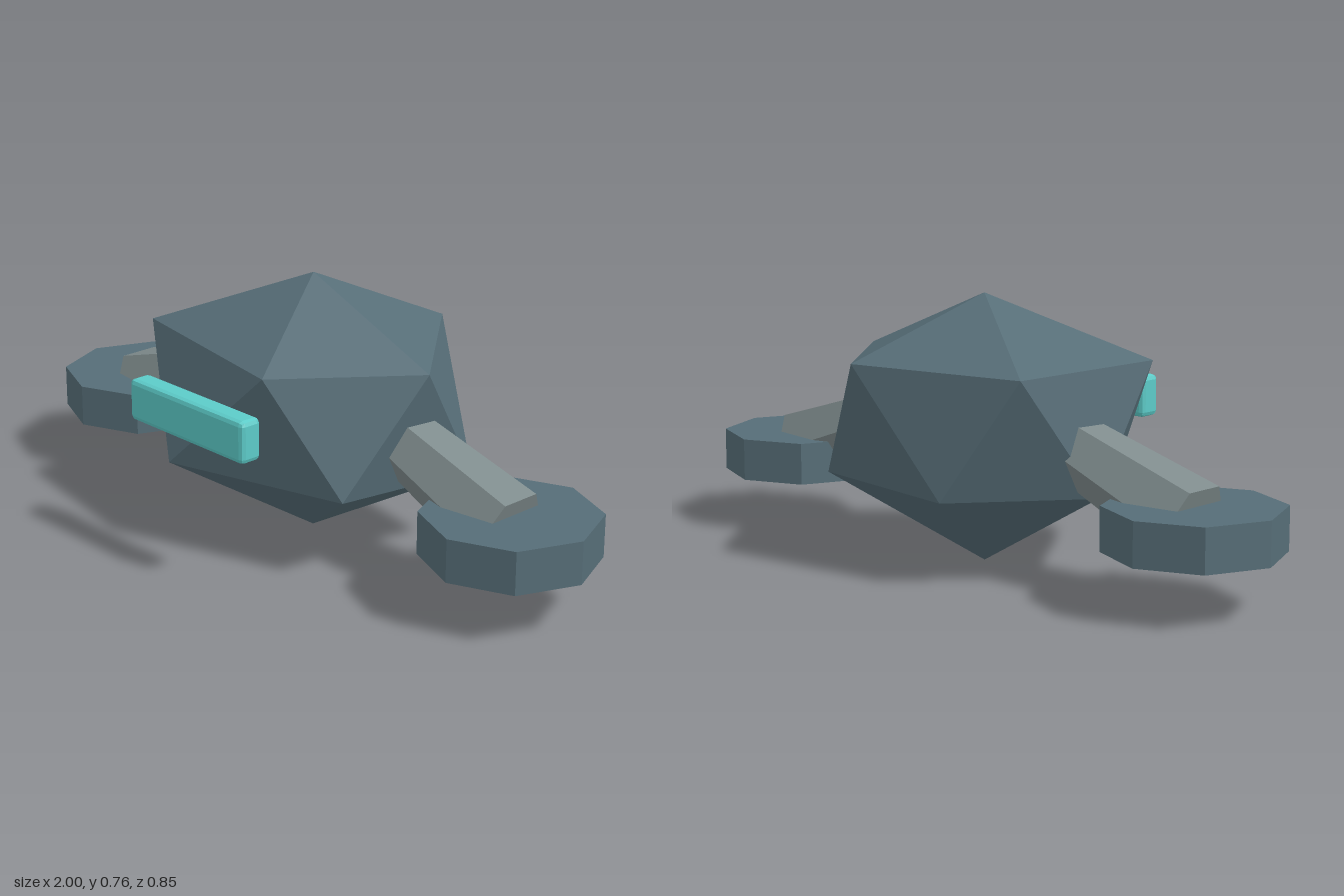
import * as THREE from 'three';
import { RoundedBoxGeometry } from 'three/addons/geometries/RoundedBoxGeometry.js';

const material = (name, color) => {
  const m = new THREE.MeshStandardMaterial({ color, flatShading: true });
  m.name = name;
  return m;
};

// Uneven twenty-sided hull: two poles joined to two staggered rings of five
function hullGeometry() {
  const top = [0, 0.763, -0.05], bottom = [0, 0.003, -0.05];
  const upper = [[0.16, 0.573, 0.287], [0.45, 0.58, -0.05], [0.14, 0.59, -0.423], [-0.36, 0.585, -0.285], [-0.395, 0.588, 0.205]];
  const lower = [[0.365, 0.25, 0.185], [0.41, 0.23, -0.27], [-0.16, 0.245, -0.385], [-0.425, 0.245, -0.05], [-0.155, 0.26, 0.353]];
  const points = [];
  for (let i = 0; i < 5; i++) {
    const j = (i + 1) % 5;
    points.push(top, upper[i], upper[j]);
    points.push(upper[i], lower[i], upper[j]);
    points.push(lower[i], lower[j], upper[j]);
    points.push(bottom, lower[j], lower[i]);
  }
  const g = new THREE.BufferGeometry();
  g.setAttribute('position', new THREE.Float32BufferAttribute(points.flat(), 3));
  g.computeVertexNormals();
  return g;
}

export function createModel() {
  const group = new THREE.Group();
  const slate = material('slate', 0x566d77);
  const grey = material('grey', 0x7f8c8d);
  const cyan = material('cyan', 0x5ccbc8);

  const add = (name, geometry, mat, x = 0, y = 0, z = 0) => {
    const mesh = new THREE.Mesh(geometry, mat);
    mesh.name = name;
    mesh.position.set(x, y, z);
    group.add(mesh);
    return mesh;
  };

  add('hull', hullGeometry(), slate);

  // Chamfered light bar floating before the hull
  add('visor', new RoundedBoxGeometry(0.466, 0.12, 0.068, 1, 0.014), cyan, 0, 0.445, 0.39);

  // Sloping arms carrying octagonal hover pods
  for (const [side, s] of [['left', 1], ['right', -1]]) {
    const arm = add(side + 'Arm', new THREE.CylinderGeometry(0.12, 0.092, 0.43, 6), grey, s * 0.548, 0.3, -0.05);
    arm.rotation.z = -s * 1.915;
    add(side + 'Pod', new THREE.CylinderGeometry(0.245, 0.245, 0.122, 8), slate, s * 0.755, 0.219, -0.05);
    add(side + 'Thruster', new THREE.CylinderGeometry(0.164, 0.164, 0.03, 8), cyan, s * 0.755, 0.161, -0.05);
  }
  return group;
}
